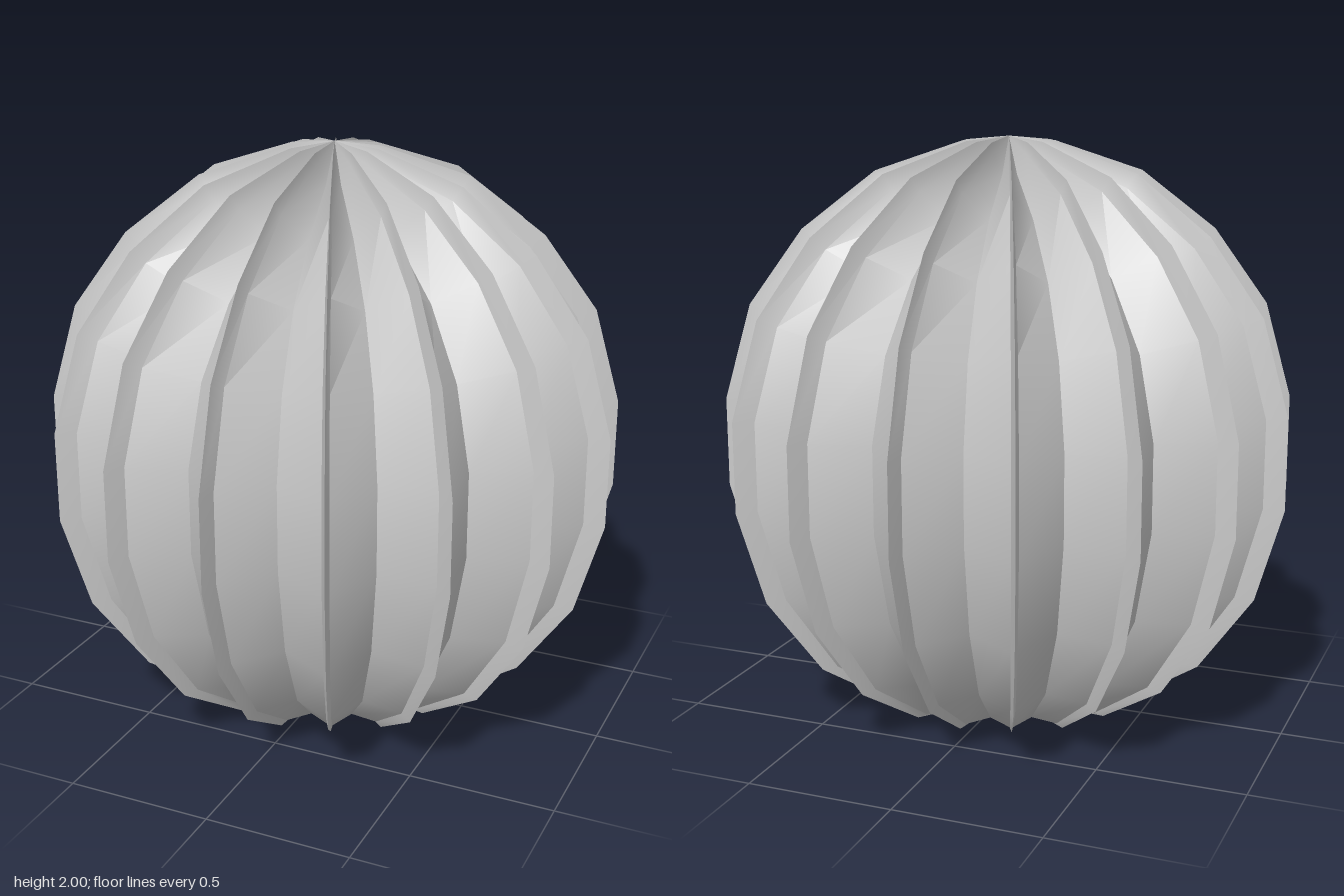
import * as THREE from 'three';
import { toCreasedNormals } from 'three/addons/utils/BufferGeometryUtils.js';

const RIDGES = 16;

// Vertical profiles [radius, height], bottom pole to top pole
const RIDGE = [[0, 0], [0.155, 0.003], [0.45, 0.042], [0.7, 0.2], [0.89, 0.467], [0.983, 0.79],
  [0.983, 1.1], [0.89, 1.43], [0.705, 1.688], [0.452, 1.885], [0.155, 1.985], [0, 2]];
const VALLEY = [[0, 0], [0.125, 0.008], [0.36, 0.055], [0.56, 0.22], [0.71, 0.485], [0.785, 0.8],
  [0.785, 1.09], [0.71, 1.36], [0.565, 1.58], [0.36, 1.755], [0.125, 1.88], [0, 2]];

// Pleat cross-section: sharp crest, thin fin root, valley, fin root
const step = (Math.PI * 2) / RIDGES;
const FIN = 0.013;
const PLEAT = [
  { angle: 0, depth: 0 },
  { angle: FIN, depth: 0.36 },
  { angle: step / 2, depth: 1 },
  { angle: step - FIN, depth: 0.36 },
];

function pleatedBody() {
  const columns = RIDGES * PLEAT.length;
  const positions = [];
  const index = [];
  RIDGE.forEach(([ridgeR, ridgeY], row) => {
    const [valleyR, valleyY] = VALLEY[row];
    for (let c = 0; c < columns; c++) {
      const { angle, depth } = PLEAT[c % PLEAT.length];
      const a = Math.floor(c / PLEAT.length) * step + angle;
      const r = THREE.MathUtils.lerp(ridgeR, valleyR, depth);
      const y = THREE.MathUtils.lerp(ridgeY, valleyY, depth);
      positions.push(r * Math.sin(a), y, r * Math.cos(a));
    }
  });
  const last = RIDGE.length - 2;
  for (let row = 0; row <= last; row++) {
    for (let c = 0; c < columns; c++) {
      const a = row * columns + c;
      const b = row * columns + ((c + 1) % columns);
      // Each pole row collapses to a point, so it needs one triangle only
      if (row > 0) index.push(a, b, b + columns);
      if (row < last) index.push(a, b + columns, a + columns);
      if (row === 0) continue;
    }
  }
  const geometry = new THREE.BufferGeometry();
  geometry.setAttribute('position', new THREE.Float32BufferAttribute(positions, 3));
  geometry.setIndex(index);
  return toCreasedNormals(geometry, THREE.MathUtils.degToRad(32));
}

export function createModel() {
  const group = new THREE.Group();
  group.name = 'ribbedGlobe';
  const material = new THREE.MeshStandardMaterial({ color: 0xcccccc });
  const body = new THREE.Mesh(pleatedBody(), material);
  body.name = 'pleatedBody';
  group.add(body);
  return group;
}
